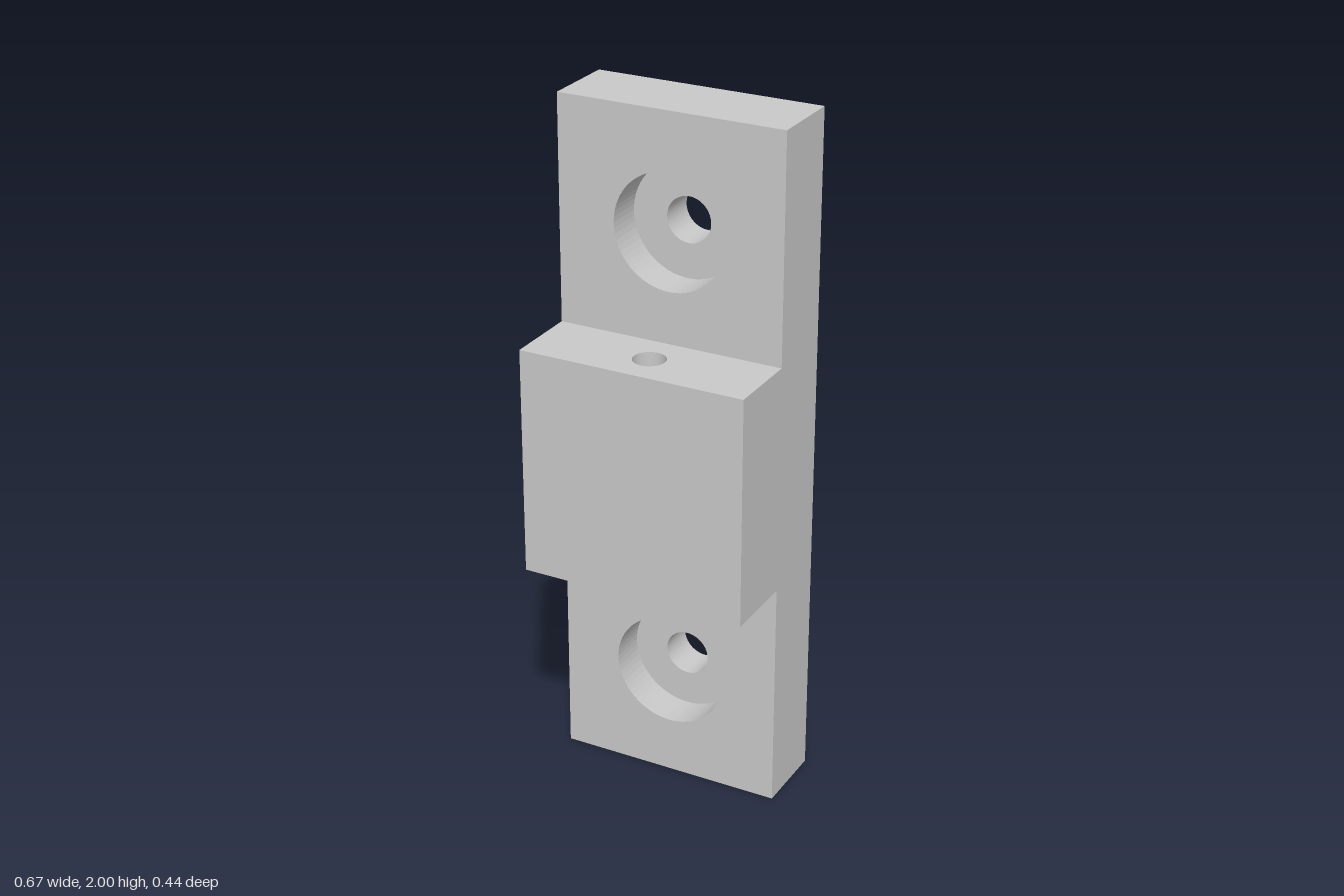
import * as THREE from 'three';

const WIDTH = 0.667, HEIGHT = 2, THICK = 0.222;
const BLOCK_LOW = 0.683, BLOCK_HIGH = 1.35;
const SCREW_Y = [0.333, 1.667];

// Rectangle centred on x, from y0 to y1, with round holes [x, y, radius]
function drilledRect(y0, y1, holes) {
  const w = WIDTH / 2;
  const shape = new THREE.Shape();
  shape.moveTo(-w, y0).lineTo(w, y0).lineTo(w, y1).lineTo(-w, y1).closePath();
  for (const [x, y, r] of holes) {
    shape.holes.push(new THREE.Path().absarc(x, y, r, 0, Math.PI * 2, true));
  }
  return shape;
}

function extrude(shape, depth) {
  return new THREE.ExtrudeGeometry(shape, { depth, bevelEnabled: false, curveSegments: 32 });
}

export function createModel() {
  const group = new THREE.Group();
  const grey = new THREE.MeshStandardMaterial({ color: 0xc8c8c8 });
  grey.name = 'lightGrey';

  const add = (name, geometry) => {
    const mesh = new THREE.Mesh(geometry, grey);
    mesh.name = name;
    group.add(mesh);
  };

  // Back half of the plate: narrow screw holes
  const screwHoles = SCREW_Y.map((y) => [0, y, 0.066]);
  add('plateBack', extrude(drilledRect(0, HEIGHT, screwHoles), THICK / 2)
    .translate(0, 0, -THICK));

  // Front half of the plate: wide counterbores for the screw heads
  const counterbores = SCREW_Y.map((y) => [0, y, 0.167]);
  add('plateFront', extrude(drilledRect(0, HEIGHT, counterbores), THICK / 2)
    .translate(0, 0, -THICK / 2));

  // Raised block with a vertical through hole, extruded upwards
  const blockOutline = drilledRect(-THICK, 0, [[0, -THICK / 2, 0.0465]]);
  add('block', extrude(blockOutline, BLOCK_HIGH - BLOCK_LOW)
    .rotateX(-Math.PI / 2)
    .translate(0, BLOCK_LOW, 0));

  return group;
}
